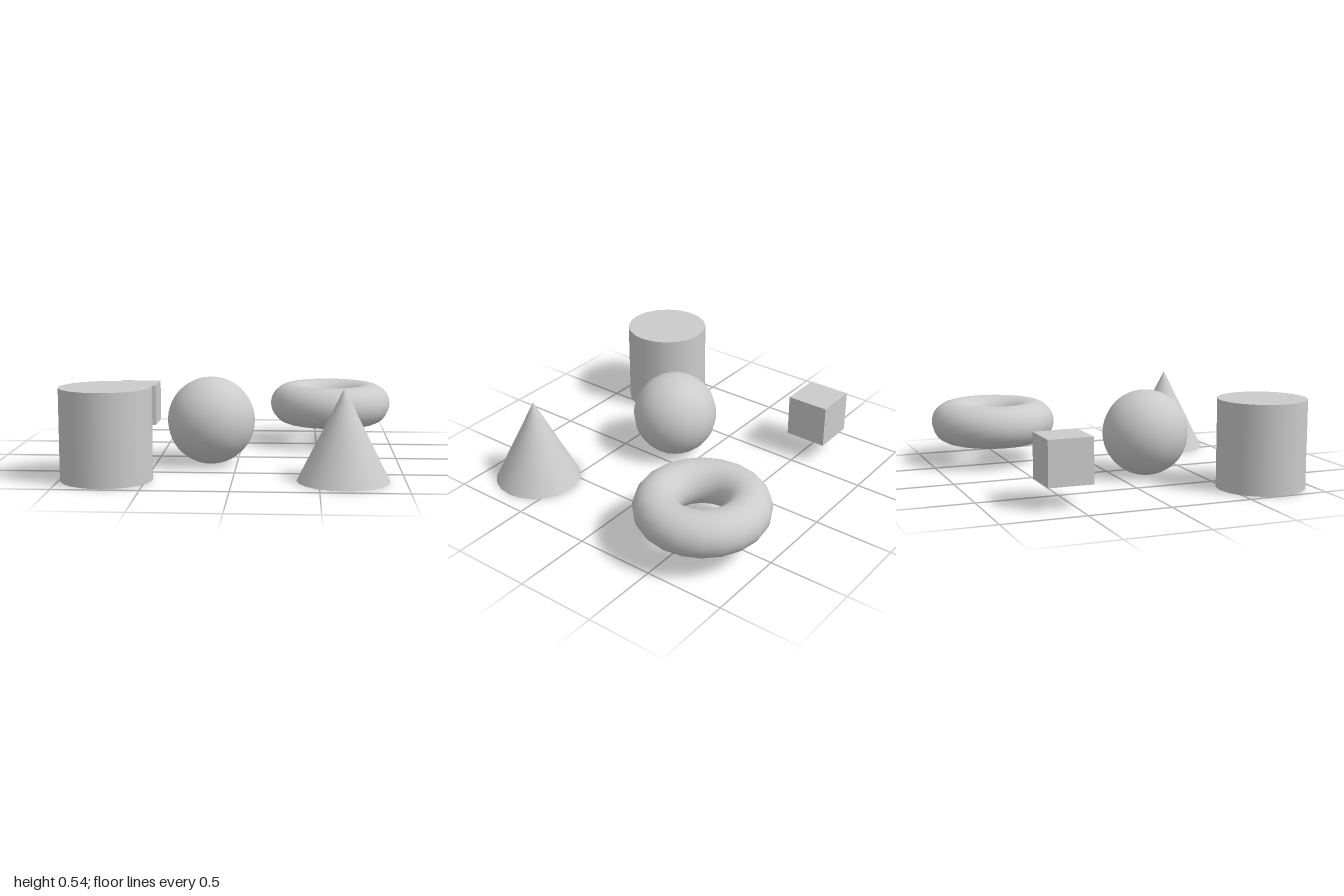
import * as THREE from 'three';

const U = 0.27; // shared radius
const SIDES = 20;
const RINGS = 32;

export function createModel() {
  const model = new THREE.Group();
  const material = new THREE.MeshStandardMaterial({ color: 0xcccccc });

  // Every solid is centred at the same height
  const add = (name, geometry, x, z) => {
    const mesh = new THREE.Mesh(geometry, material);
    mesh.name = name;
    mesh.position.set(x, U, z);
    model.add(mesh);
  };

  add('cylinder', new THREE.CylinderGeometry(U, U, 2 * U, SIDES), -0.73, 0.71);
  add('cone', new THREE.ConeGeometry(U, 2 * U, SIDES, 8), 0.64, 0.69);
  add('sphere', new THREE.SphereGeometry(U, SIDES, RINGS), -0.16, 0.2);
  add('cube', new THREE.BoxGeometry(U, U, U), -0.72, -0.545);

  // Ring lying flat
  const ring = new THREE.TorusGeometry(U, U / 2, RINGS, SIDES).rotateX(-Math.PI / 2);
  add('torus', ring, 0.595, -0.58);

  return model;
}
